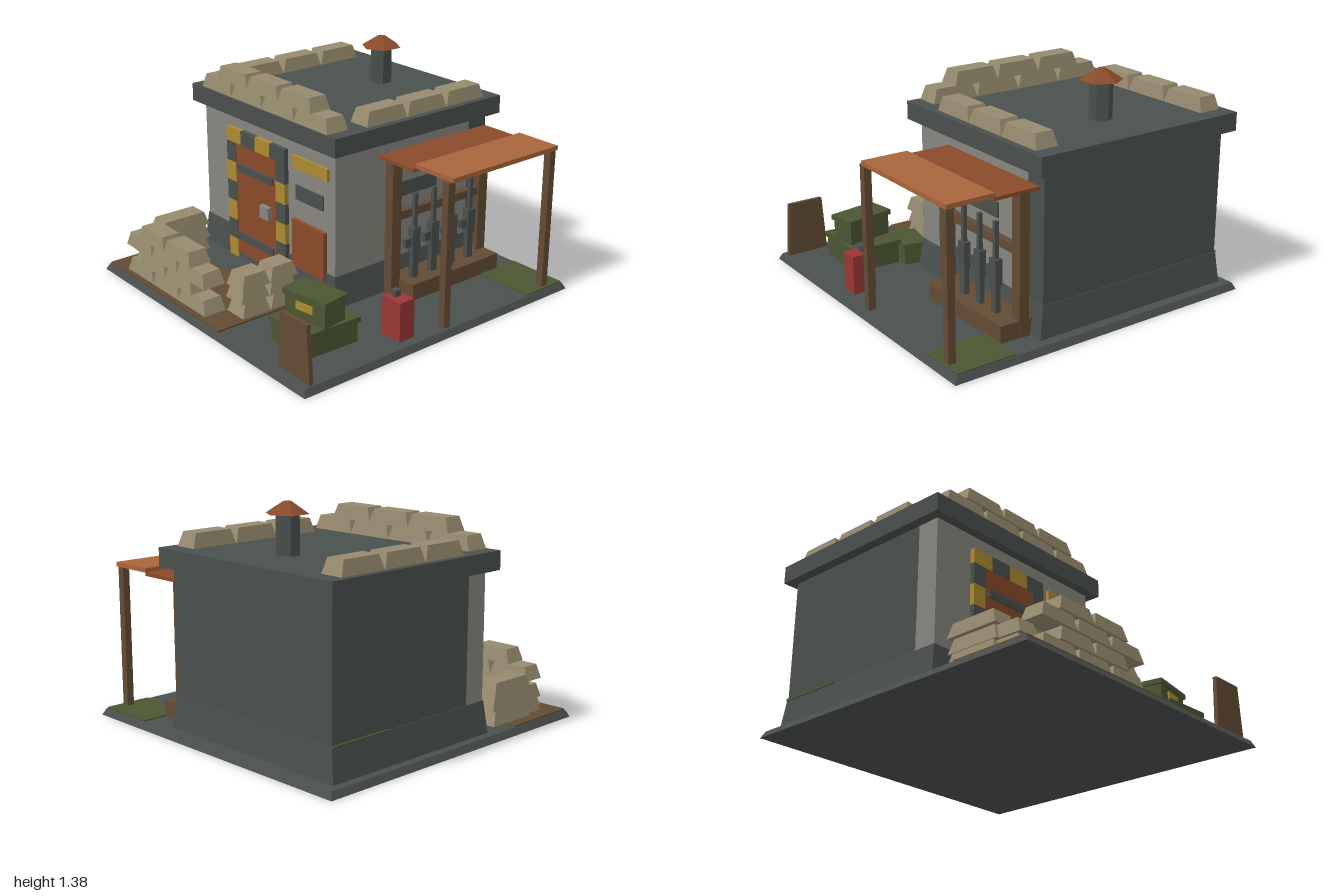
import * as THREE from 'three';

const mat = (name, color) => {
  const m = new THREE.MeshStandardMaterial({ color });
  m.name = name;
  return m;
};

export function createModel() {
  const slate = mat('slate', 0x4a504d), concrete = mat('concrete', 0x87857e);
  const sand = mat('sandbag', 0x978b6f), rust = mat('rust', 0x8a4a2a);
  const lightRust = mat('lightRust', 0xa8653b), wood = mat('wood', 0x624b34);
  const olive = mat('olive', 0x4b5632), yellow = mat('yellow', 0xab8a31);
  const red = mat('red', 0x9c3636);

  const root = new THREE.Group();
  const group = (name, parent = root) => {
    const g = new THREE.Group();
    g.name = name;
    parent.add(g);
    return g;
  };
  const add = (name, geo, material, parent) => {
    const m = new THREE.Mesh(geo, material);
    m.name = name;
    parent.add(m);
    return m;
  };
  // Box given by its limits on each axis
  const box = (name, material, x0, x1, y0, y1, z0, z1, parent = root) => {
    const m = add(name, new THREE.BoxGeometry(x1 - x0, y1 - y0, z1 - z0), material, parent);
    m.position.set((x0 + x1) / 2, (y0 + y1) / 2, (z0 + z1) / 2);
    return m;
  };
  // Box whose top is inset, standing on its own origin
  const taper = (w, h, d, insetX, insetZ = insetX) => {
    const g = new THREE.BoxGeometry(w, h, d).translate(0, h / 2, 0);
    const p = g.attributes.position;
    for (let i = 0; i < p.count; i++) {
      if (p.getY(i) < h / 2) continue;
      p.setX(i, p.getX(i) - Math.sign(p.getX(i)) * insetX);
      p.setZ(i, p.getZ(i) - Math.sign(p.getZ(i)) * insetZ);
    }
    g.computeVertexNormals();
    return g;
  };
  const bag = (parent, x, y, z, w, d) =>
    add('sandbag', taper(w, 0.084, d, w > d ? 0.028 : 0.015, d > w ? 0.028 : 0.015), sand, parent)
      .position.set(x, y, z);

  // Ground
  add('base', taper(2, 0.04, 2, 0.02), slate, root);
  box('woodMat', wood, -0.975, 0.2, 0.04, 0.05, 0.495, 0.975);
  box('groundTarp', olive, 0.6, 0.975, 0.04, 0.048, -0.975, -0.68);

  // Bunker shell
  const bunker = group('bunker');
  box('frontWall', concrete, -0.9, 0.37, 0.04, 0.98, 0.14, 0.28, bunker);
  box('rightWall', concrete, 0.23, 0.37, 0.04, 0.98, -0.76, 0.14, bunker);
  box('backWall', slate, -0.9, 0.37, 0.04, 0.98, -0.9, -0.76, bunker);
  box('leftWall', slate, -0.9, -0.76, 0.04, 0.98, -0.76, 0.14, bunker);
  add('plinth', taper(1.33, 0.19, 1.22, 0.025, 0.015), slate, bunker).position.set(-0.265, 0.04, -0.31);
  box('roofSlab', slate, -0.96, 0.433, 0.98, 1.09, -0.955, 0.335, bunker);
  box('mossPatch', olive, -0.914, -0.89, 0.222, 0.236, -0.9, -0.5, bunker);

  // Door with hazard frame
  const door = group('door');
  box('doorPanel', rust, -0.55, -0.15, 0.08, 0.8, 0.28, 0.304, door);
  for (const y of [0.655, 0.2]) box('doorBar', slate, -0.525, -0.175, y - 0.024, y + 0.024, 0.3, 0.318, door);
  box('doorLock', concrete, -0.28, -0.195, 0.405, 0.485, 0.3, 0.335, door);
  for (let i = 0; i < 4; i++) {
    const x = -0.64 + i * 0.145;
    box('frameTop', i % 2 ? slate : yellow, x, x + 0.145, 0.8, 0.89, 0.28, 0.309, door);
  }
  for (const x of [-0.64, -0.15]) for (let i = 0; i < 6; i++) {
    const y = 0.8 - i * 0.127;
    box('frameSide', i % 2 ? yellow : slate, x, x + 0.09, y - 0.127, y, 0.28, 0.309, door);
  }

  // Wall fittings
  box('signPlate', yellow, 0, 0.32, 0.8, 0.875, 0.28, 0.298);
  box('frontSlot', slate, 0.02, 0.27, 0.605, 0.695, 0.28, 0.289);
  box('sideSlot', slate, 0.37, 0.379, 0.605, 0.695, -0.495, -0.2);
  box('wallHatch', rust, 0, 0.295, 0.18, 0.48, 0.28, 0.305);

  // Chimney
  const chimney = group('chimney');
  chimney.position.set(-0.25, 0, -0.6);
  const hex = (name, rt, rb, y0, y1, m) => {
    const geo = new THREE.CylinderGeometry(rt, rb, y1 - y0, 6).toNonIndexed();
    geo.computeVertexNormals();
    add(name, geo, m, chimney).position.y = (y0 + y1) / 2;
  };
  hex('chimneyPipe', 0.068, 0.068, 1.09, 1.32, slate);
  hex('chimneyCap', 0.025, 0.124, 1.315, 1.38, rust);

  // Roof sandbags
  const parapet = group('roofSandbags');
  for (let i = 0; i < 4; i++) bag(parapet, -0.715 + i * 0.304, 1.09, 0.247, 0.305, 0.15);
  for (let i = 0; i < 3; i++) {
    bag(parapet, -0.56 + i * 0.303, 1.172, 0.247, 0.305, 0.145);
    for (const x of [-0.848, 0.32]) bag(parapet, x, 1.09, -0.7 + i * 0.308, 0.145, 0.305);
  }

  // Yard sandbag wall
  const yard = group('yardSandbags');
  for (let layer = 0; layer < 4; layer++) {
    const y = 0.05 + layer * 0.084, odd = layer % 2;
    for (let i = 0; i < 3 - odd; i++) bag(yard, -0.68 + odd * 0.14 + i * 0.277, y, 0.87, 0.28, 0.145);
    if (layer === 3) continue;
    bag(yard, -0.835 + odd * 0.01, y, 0.55, 0.155, 0.335);
    if (layer < 2) bag(yard, -0.81, y, 0.755, 0.15, 0.2);
    for (const z of [0.497, 0.695]) bag(yard, 0.1 - odd * 0.01, y, z, 0.155, 0.195);
  }

  // Canopy
  const canopy = group('canopy');
  box('innerSheet', rust, 0.385, 0.675, 0.885, 0.905, -0.88, -0.03 + 0.005, canopy);
  box('outerSheet', lightRust, 0.67, 0.965, 0.903, 0.93, -0.88, -0.045, canopy);
  for (const z of [-0.04, -0.85]) box('outerPost', wood, 0.912, 0.958, 0.04, 0.905, z - 0.022, z + 0.022, canopy);
  for (const z of [-0.092, -0.797]) box('innerPost', wood, 0.412, 0.475, 0.04, 0.885, z - 0.035, z + 0.035, canopy);

  // Tool rack with bench
  const rack = group('rack');
  box('bench', wood, 0.385, 0.595, 0.04, 0.14, -0.825, -0.12, rack);
  box('rackBeam', wood, 0.42, 0.465, 0.505, 0.555, -0.77, -0.12, rack);
  for (let i = 0; i < 4; i++) {
    const r = group('rifle', rack);
    r.position.set(0.505, 0, -0.205 - i * 0.15);
    box('barrel', slate, -0.012, 0.012, 0.44, 0.67, -0.012, 0.012, r);
    box('receiver', slate, -0.022, 0.022, 0.3, 0.455, -0.03, 0.03, r);
    box('stock', slate, -0.016, 0.016, 0.14, 0.31, -0.022, 0.022, r);
    const mag = box('magazine', slate, -0.014, 0.014, 0.345, 0.4, 0.02, 0.078, r);
    mag.rotation.x = 0.12;
  }

  // Fuel can
  const can = group('fuelCan');
  box('canBody', red, 0.775, 0.92, 0.04, 0.275, 0.175, 0.28, can);
  box('canCap', slate, 0.805, 0.845, 0.275, 0.31, 0.207, 0.247, can);

  // Supply crates
  const crate = (x, y, z, w, h, d, turn, plate) => {
    const c = group('crate');
    c.position.set(x, y, z);
    c.rotation.y = turn;
    const a = w / 2, b = d / 2;
    box('crateBody', olive, -a + 0.012, a - 0.012, 0, h - 0.03, -b + 0.012, b - 0.012, c);
    box('crateLid', olive, -a, a, h - 0.03, h, -b, b, c);
    if (plate) box('cratePlate', yellow, -0.06, 0.06, h * 0.38, h * 0.67, b - 0.012, b - 0.003, c);
  };
  crate(0.605, 0.04, 0.62, 0.325, 0.15, 0.385, -0.03, true);
  crate(0.61, 0.19, 0.62, 0.315, 0.155, 0.185, 0.16, true);
  crate(0.365, 0.04, 0.467, 0.155, 0.135, 0.235, -0.2, false);

  // Leaning board
  add('board', taper(0.265, 0.335, 0.025, 0.022, 0), wood, root).position.set(0.835, 0.04, 0.93);

  return root;
}
